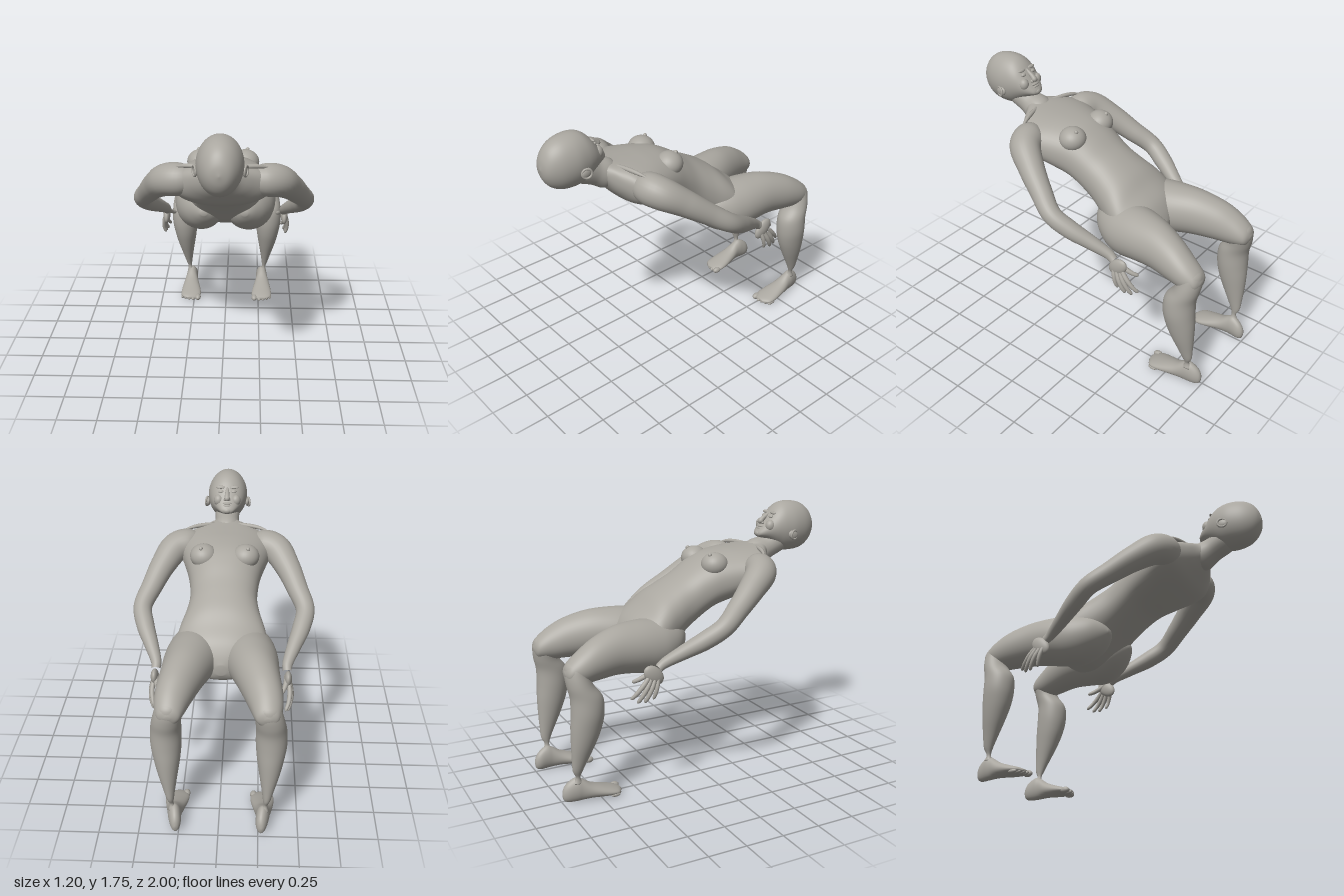
import * as THREE from 'three';
import { mergeVertices } from 'three/addons/utils/BufferGeometryUtils.js';

const clay = new THREE.MeshStandardMaterial({ color: 0xaaa7a0 });
clay.name = 'warm grey clay';

// Catmull-Rom interpolation of table rows at t in 0..1
function sampleRows(rows, t) {
  const f = t * (rows.length - 1), i = Math.min(Math.floor(f), rows.length - 2), k = f - i;
  const at = (j) => rows[Math.max(0, Math.min(rows.length - 1, j))];
  return rows[i].map((_, c) => {
    const [p, a, b, q] = [at(i - 1)[c], at(i)[c], at(i + 1)[c], at(i + 2)[c]];
    return a + 0.5 * k * (b - p + k * (2 * p - 5 * a + 4 * b - q + k * (3 * (a - b) + q - p)));
  });
}

// Oval sections stacked along 'z' or 'y'; rows are [height, xMin, xMax, otherMin, otherMax]
function loft(axis, rows, seg = 40, power = 1) {
  const n = (rows.length - 1) * 5, pos = [], idx = [];
  const put = (x, o, t) => (axis === 'z' ? pos.push(x, o, t) : pos.push(x, t, o));
  const round = (v) => Math.sign(v) * Math.abs(v) ** power;
  for (let i = 0; i <= n; i++) {
    const [t, x0, x1, o0, o1] = sampleRows(rows, i / n);
    for (let j = 0; j < seg; j++) {
      const a = (j / seg) * Math.PI * 2;
      put((x0 + x1) / 2 + ((x1 - x0) / 2) * round(Math.cos(a)),
        (o0 + o1) / 2 + ((o1 - o0) / 2) * round(Math.sin(a)), t);
    }
  }
  const tri = (a, b, c) => {
    // rows run downwards along the axis; the y axis stack is mirrored
    if (axis === 'z') idx.push(a, c, b); else idx.push(a, b, c);
  };
  for (let i = 0; i < n; i++) for (let j = 0; j < seg; j++) {
    const a = i * seg + j, b = i * seg + (j + 1) % seg;
    tri(a, b, a + seg); tri(b, b + seg, a + seg);
  }
  for (const end of [0, n]) {
    const [t, x0, x1, o0, o1] = rows[end ? rows.length - 1 : 0];
    put((x0 + x1) / 2, (o0 + o1) / 2, t);
    const c = pos.length / 3 - 1;
    for (let j = 0; j < seg; j++) {
      const a = end * seg + j, b = end * seg + (j + 1) % seg;
      if (end) tri(c, a, b); else tri(c, b, a);
    }
  }
  const g = new THREE.BufferGeometry();
  g.setAttribute('position', new THREE.Float32BufferAttribute(pos, 3));
  g.setIndex(idx);
  g.computeVertexNormals();
  return g;
}

// Round limb through rows of [x, y, z, radius]
function limb(rows, steps = 40, seg = 20) {
  const curve = new THREE.CatmullRomCurve3(rows.map((r) => new THREE.Vector3(r[0], r[1], r[2])));
  const g = new THREE.TubeGeometry(curve, steps, 1, seg);
  const p = g.attributes.position, v = new THREE.Vector3();
  for (let i = 0; i < p.count; i++) {
    const u = g.attributes.uv.getX(i), c = curve.getPointAt(u);
    const r = sampleRows(rows, curve.getUtoTmapping(u))[3];
    v.fromBufferAttribute(p, i).sub(c).multiplyScalar(Math.max(r, 0.0005)).add(c);
    p.setXYZ(i, v.x, v.y, v.z);
  }
  g.deleteAttribute('uv'); g.deleteAttribute('normal');
  const m = mergeVertices(g, 1e-5);
  m.computeVertexNormals();
  return m;
}

export function createModel() {
  const body = new THREE.Group();
  body.name = 'reclining figure';
  const add = (name, geo, parent = body) => {
    const m = new THREE.Mesh(geo, clay);
    m.name = name;
    parent.add(m);
    return m;
  };
  const blob = (name, at, size, parent, tilt = 0) => {
    const m = add(name, new THREE.SphereGeometry(1, 28, 20), parent);
    m.position.set(...at); m.scale.set(...size); m.rotation.x = tilt;
  };
  const centred = (rows) => rows.map(([z, w, lo, hi]) => [z, -w, w, lo, hi]);

  // Torso, from neck root to crotch
  add('torso', loft('z', centred([
    [0.66, 0.07, 1.41, 1.485], [0.59, 0.095, 1.35, 1.495], [0.535, 0.19, 1.285, 1.49],
    [0.47, 0.29, 1.22, 1.485], [0.38, 0.31, 1.175, 1.48], [0.27, 0.28, 1.135, 1.472],
    [0.15, 0.245, 1.09, 1.45], [0.05, 0.225, 1.025, 1.40], [-0.05, 0.222, 0.95, 1.335],
    [-0.15, 0.245, 0.87, 1.28], [-0.25, 0.28, 0.81, 1.22], [-0.33, 0.29, 0.79, 1.15],
    [-0.42, 0.24, 0.80, 1.08], [-0.47, 0.15, 0.82, 1.01], [-0.5, 0.03, 0.87, 0.94],
  ]), 56, 0.9));

  // Neck and head
  add('neck', limb([[0, 1.36, 0.46, 0.05], [0, 1.41, 0.55, 0.095], [0, 1.45, 0.64, 0.083],
    [0, 1.495, 0.73, 0.085], [0, 1.53, 0.79, 0.07]]));
  const head = new THREE.Group();
  head.name = 'head';
  body.add(head);
  add('skull', loft('z', centred([
    [0.998, 0.004, 1.575, 1.585], [0.985, 0.055, 1.515, 1.645], [0.95, 0.092, 1.46, 1.703],
    [0.89, 0.122, 1.424, 1.742], [0.81, 0.137, 1.415, 1.757], [0.74, 0.131, 1.425, 1.75],
    [0.69, 0.118, 1.455, 1.72], [0.65, 0.1, 1.482, 1.676], [0.615, 0.08, 1.504, 1.63],
    [0.585, 0.058, 1.518, 1.592], [0.565, 0.036, 1.527, 1.567], [0.556, 0.005, 1.544, 1.552],
  ]), 48), head);
  add('nose', limb([[0, 1.685, 0.665, 0.006], [0, 1.665, 0.64, 0.013], [0, 1.642, 0.607, 0.017],
    [0, 1.622, 0.592, 0.019], [0, 1.61, 0.594, 0.002]], 20, 14), head);
  blob('upperLip', [0, 1.594, 0.592], [0.032, 0.009, 0.011], head);
  blob('lowerLip', [0, 1.581, 0.583], [0.028, 0.009, 0.01], head);
  blob('chin', [0, 1.547, 0.571], [0.028, 0.02, 0.018], head);

  // Parts of one side, built on the left and mirrored
  for (const side of [1, -1]) {
    const half = new THREE.Group();
    half.name = side > 0 ? 'leftSide' : 'rightSide';
    half.scale.x = side;
    body.add(half);

    // Face details and ear
    blob('nostril', [0.014, 1.617, 0.602], [0.011, 0.01, 0.012], half);
    blob('eye', [0.043, 1.66, 0.648], [0.02, 0.011, 0.013], half, -0.6);
    blob('brow', [0.045, 1.685, 0.664], [0.032, 0.009, 0.012], half, -0.6);
    blob('cheek', [0.06, 1.6, 0.635], [0.033, 0.04, 0.035], half);
    blob('ear', [0.138, 1.54, 0.772], [0.014, 0.03, 0.037], half, 0.3);
    const rim = add('earRim', new THREE.TorusGeometry(0.03, 0.007, 10, 24), half);
    rim.position.set(0.147, 1.54, 0.775);
    rim.rotation.y = Math.PI / 2 - 0.35;

    // Chest
    blob('breast', [0.14, 1.393, 0.155], [0.09, 0.08, 0.09], half);
    blob('nipple', [0.155, 1.462, 0.112], [0.013, 0.014, 0.013], half);
    add('collarbone', limb([[0.03, 1.474, 0.53, 0.004], [0.12, 1.474, 0.5, 0.013],
      [0.22, 1.468, 0.47, 0.013], [0.3, 1.45, 0.44, 0.004]], 16, 12), half);

    // Arm
    add('arm', limb([[0.16, 1.36, 0.42, 0.06], [0.25, 1.365, 0.42, 0.1], [0.34, 1.35, 0.385, 0.102],
      [0.42, 1.275, 0.27, 0.086], [0.488, 1.175, 0.13, 0.071], [0.54, 1.085, 0.0, 0.062],
      [0.512, 1.01, -0.12, 0.059], [0.46, 0.935, -0.25, 0.046], [0.42, 0.87, -0.36, 0.033],
      [0.42, 0.845, -0.395, 0.028]], 64, 28), half);

    // Hand with spread fingers
    blob('palm', [0.425, 0.808, -0.43], [0.026, 0.052, 0.078], half, 0.75);
    const fingers = [
      ['littleFinger', [0.435, 0.785, -0.405], [0.435, 0.655, -0.44], 0.013],
      ['ringFinger', [0.437, 0.78, -0.43], [0.435, 0.642, -0.5], 0.015],
      ['middleFinger', [0.437, 0.785, -0.455], [0.425, 0.642, -0.545], 0.015],
      ['indexFinger', [0.432, 0.795, -0.47], [0.41, 0.667, -0.583], 0.015],
      ['thumb', [0.415, 0.835, -0.43], [0.372, 0.765, -0.555], 0.016],
    ];
    for (const [name, a, b, r] of fingers) {
      const mix = (t, out) => a.map((v, i) => v + (b[i] - v) * t + (i ? 0 : out));
      add(name, limb([[...a, r], [...mix(0.35, 0.012), r * 1.05], [...mix(0.7, 0.012), r * 0.9],
        [...mix(0.94, 0.002), r * 0.7], [...b, 0.001]], 18, 12), half);
    }

    // Buttock and thigh
    add('thigh', loft('z', [
      [-0.07, 0.12, 0.16, 0.93, 0.96], [-0.1, 0.065, 0.215, 0.875, 1.02], [-0.16, 0.02, 0.28, 0.81, 1.06],
      [-0.25, 0.008, 0.33, 0.758, 1.085], [-0.34, 0.008, 0.352, 0.745, 1.098], [-0.45, 0.03, 0.362, 0.765, 1.103],
      [-0.6, 0.085, 0.367, 0.785, 1.093], [-0.75, 0.145, 0.383, 0.782, 1.048], [-0.85, 0.185, 0.385, 0.778, 0.993],
      [-0.92, 0.212, 0.37, 0.79, 0.94], [-0.95, 0.235, 0.35, 0.81, 0.905], [-0.963, 0.28, 0.31, 0.85, 0.87],
    ], 44), half);

    // Knee, calf and ankle
    add('lowerLeg', loft('y', [
      [0.95, 0.27, 0.32, -0.9, -0.86], [0.91, 0.225, 0.365, -0.95, -0.82], [0.85, 0.215, 0.385, -0.962, -0.815],
      [0.78, 0.222, 0.402, -0.955, -0.79], [0.7, 0.225, 0.415, -0.938, -0.735], [0.6, 0.226, 0.418, -0.938, -0.727],
      [0.5, 0.235, 0.403, -0.943, -0.745], [0.4, 0.25, 0.38, -0.943, -0.783], [0.3, 0.266, 0.35, -0.94, -0.83],
      [0.22, 0.277, 0.326, -0.935, -0.868], [0.17, 0.281, 0.308, -0.915, -0.885], [0.13, 0.265, 0.315, -0.935, -0.87],
    ], 40), half);

    // Foot and toes
    add('foot', loft('z', [
      [-0.61, 0.235, 0.3, 0.015, 0.035], [-0.635, 0.212, 0.34, 0.008, 0.047], [-0.67, 0.2, 0.352, 0.004, 0.06],
      [-0.73, 0.205, 0.35, 0.004, 0.08], [-0.81, 0.222, 0.338, 0.008, 0.11], [-0.87, 0.235, 0.325, 0.005, 0.148],
      [-0.91, 0.236, 0.32, 0.003, 0.163], [-0.96, 0.236, 0.306, 0.004, 0.135], [-0.988, 0.248, 0.29, 0.018, 0.1],
      [-0.998, 0.265, 0.275, 0.05, 0.065],
    ], 32), half);
    for (let i = 0; i < 5; i++) {
      const r = i ? 0.0165 - i * 0.0008 : 0.022;
      blob('toe', [[0.22, 0.258, 0.288, 0.316, 0.34][i], r + 0.003, -0.63 - i * i * 0.0022],
        [r, r, i ? 0.032 : 0.034], half);
    }
  }
  return body;
}
